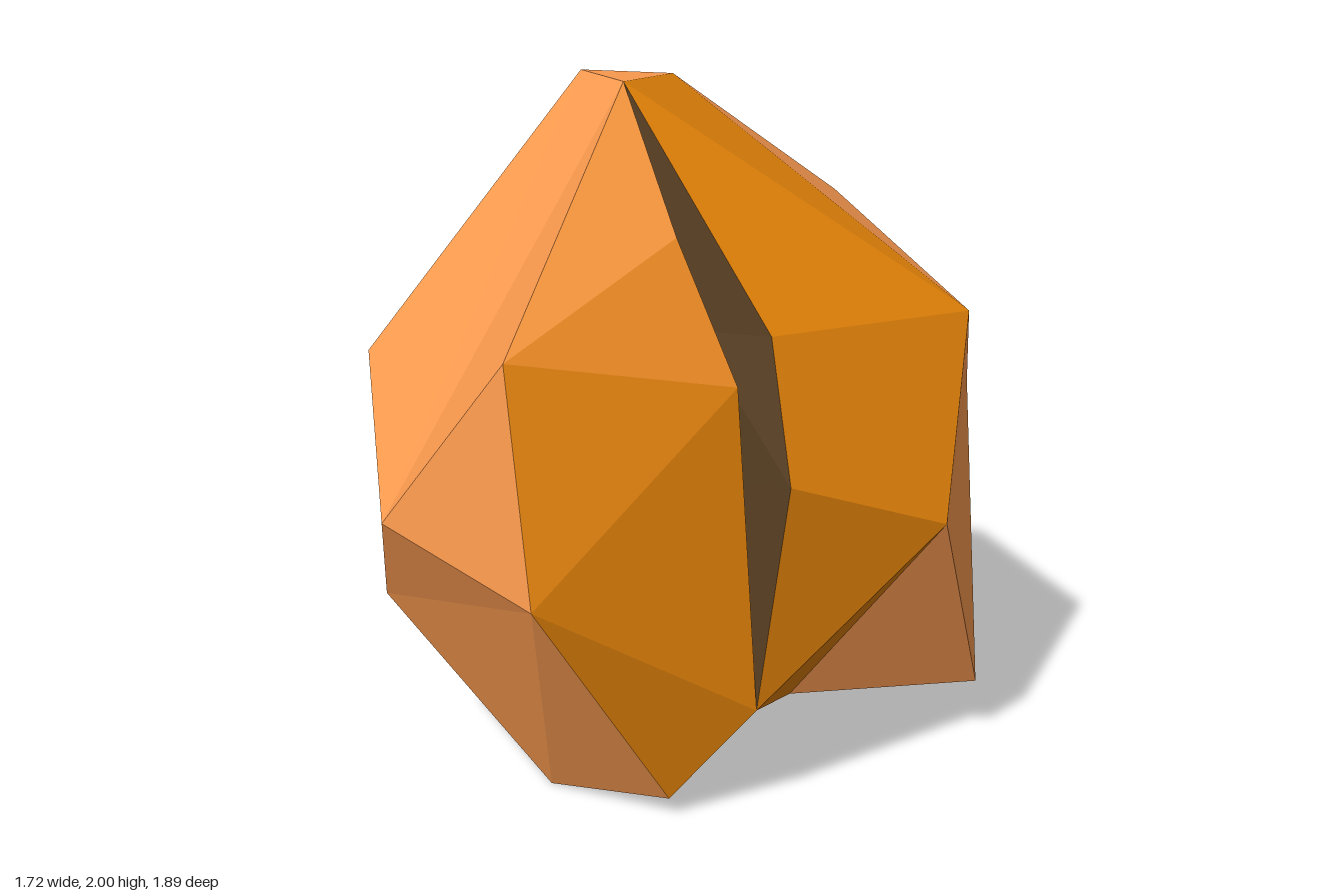
import * as THREE from 'three';

// Corner points of the faceted body, grouped by region
const crown = { A: [-0.23, 2, 0.12], B: [0.02, 2, 0.15], C: [-0.35, 1.91, 0], W: [-0.17, 1.97, -0.17] };
const front = {
  F: [-0.57, 1.17, 0.67], G: [0.36, 1.37, 0.79], H: [-0.04, 0.84, 0.945],
  I: [0.5, 0.72, 0.81], J: [-0.27, 0.52, 0.81],
};
const sides = {
  D: [-0.79, 1.3, -0.23], E: [-0.86, 0.79, 0.2], K: [-0.61, 0.25, -0.42],
  X: [0.61, 1.33, -0.66], R: [0.855, 0.81, -0.36],
};
const back = {
  a: [0.41, 1.03, -0.87], b: [0.09, 0.87, -0.945], c: [-0.02, 1.58, -0.69],
  d: [-0.47, 1.54, -0.5], e: [-0.47, 1.08, -0.77], f: [-0.61, 0.72, -0.64],
};
const base = {
  L: [-0.37, 0.2, 0.5], M: [-0.06, 0.01, -0.73], N: [0.18, 0, 0.54], O: [0.55, 0.06, 0.39],
  Y: [0.7, 0.18, -0.67], Z: [0.38, 0.15, -0.2], s: [0.17, 0.05, -0.69], t: [-0.51, 0.35, 0.25],
  p: [0.3, 0.09, -0.03], q: [0.16, 0.06, -0.25], r: [0.12, 0.06, -0.1],
};
// Front lip P Q, back lip U V, lower end T, groove bottom m n
const cleft = {
  P: [0.41, 1.64, 0.26], Q: [0.64, 1.27, 0.23], U: [0.61, 1.38, 0.09], V: [0.76, 1, 0.14],
  T: [0.69, 0.33, 0.19], m: [0.35, 1.35, 0.15], n: [0.5, 0.95, 0.16],
};
const points = { ...crown, ...front, ...sides, ...back, ...base, ...cleft };
const centre = new THREE.Vector3(0, 1, 0);

// Each fan is a hub letter followed by its rim; facets are turned to face outward
function facets(name, color, fans, side = THREE.FrontSide) {
  const corners = [];
  for (const fan of fans) {
    const [hub, ...rim] = [...fan].map((k) => new THREE.Vector3(...points[k]));
    for (let i = 0; i < rim.length - 1; i++) {
      const tri = new THREE.Triangle(hub, rim[i], rim[i + 1]);
      const normal = tri.getNormal(new THREE.Vector3());
      const out = tri.getMidpoint(new THREE.Vector3()).sub(centre);
      corners.push(...(normal.dot(out) > 0 ? [tri.a, tri.b, tri.c] : [tri.a, tri.c, tri.b]));
    }
  }
  const geometry = new THREE.BufferGeometry().setFromPoints(corners);
  geometry.computeVertexNormals();
  const mesh = new THREE.Mesh(geometry, new THREE.MeshStandardMaterial({ color, flatShading: true, side }));
  mesh.name = name;
  return mesh;
}

export function createModel() {
  const group = new THREE.Group();
  group.name = 'splitNut';
  group.add(
    facets('crown', 0xfe9c50, ['WBACd']),
    facets('frontShell', 0xfe9c50, ['FACDEJH', 'HFABGIJ', 'JELNI']),
    facets('backShell', 0xfe9c50, ['cWXabedW', 'DCdefE', 'EfK', 'XRa', 'YsqZRabs']),
    facets('baseShell', 0xfe9c50, ['LEtrN', 'tEKr', 'NrqpOI', 'pOTZq', 'MKrqsbefK']),
    facets('frontLip', 0xe68408, ['GBPQI', 'IQTO']),
    facets('backLip', 0xe68408, ['BWXU', 'UXRV', 'RVTZ']),
    facets('groove', 0x573e22, ['mBPQn', 'nQT', 'mBUVn', 'nVT'], THREE.DoubleSide),
  );
  return group;
}
